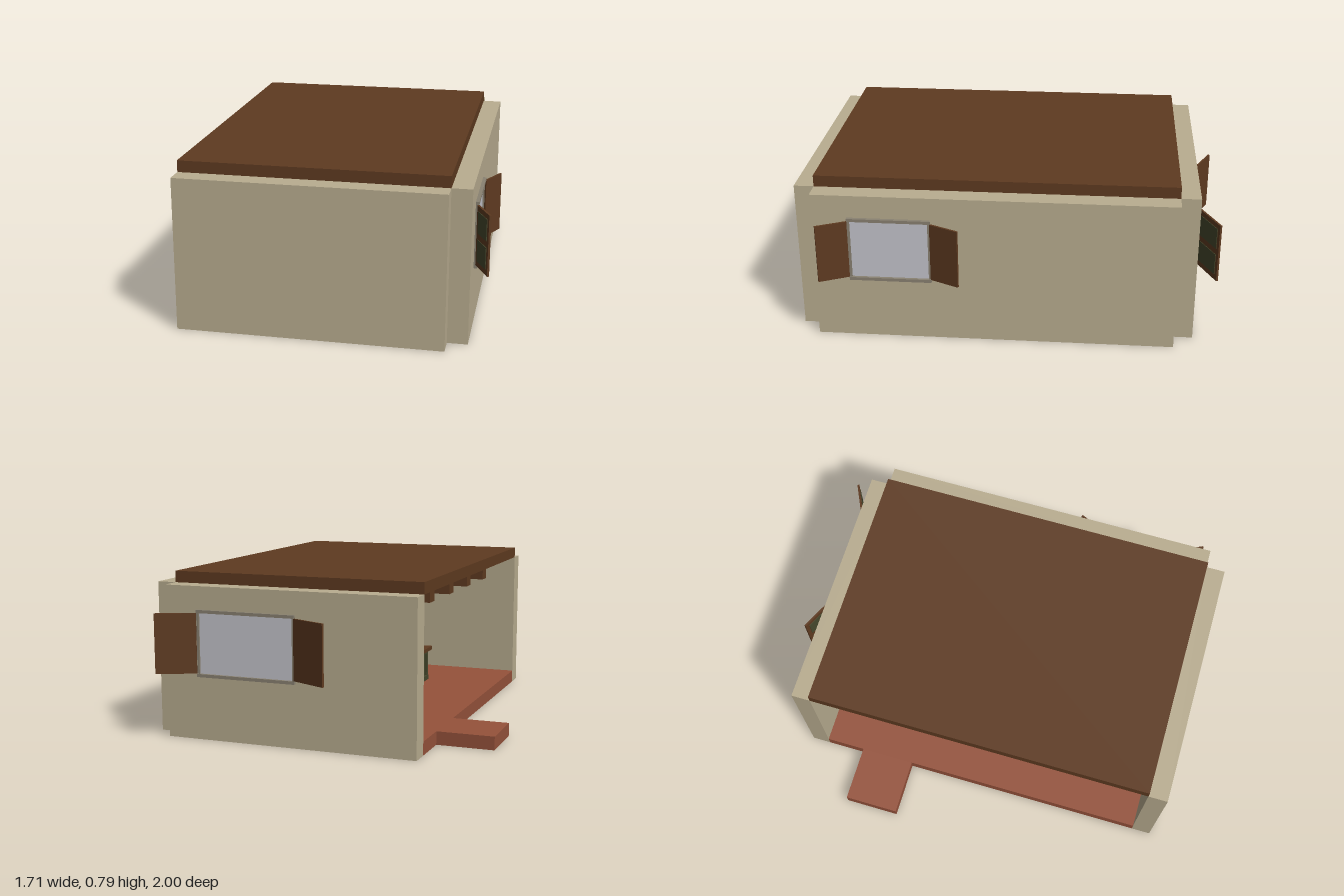
import * as THREE from 'three';

const mat = (name, color) => {
  const m = new THREE.MeshStandardMaterial({ color });
  m.name = name;
  return m;
};

export function createModel() {
  const plaster = mat('plaster', 0xb9ad90);
  const wood = mat('dark wood', 0x5e3a20);
  const clay = mat('clay floor', 0x95523b);
  const olive = mat('olive paint', 0x45472c);
  const stone = mat('grey frame', 0x8a8272);
  const glass = mat('pale glass', 0xc5c5cc);
  const cream = mat('cream', 0xd6c8a6);

  const model = new THREE.Group();
  model.name = 'openRoom';

  // Box given by its minimum and maximum corners
  const box = (parent, name, material, x0, x1, y0, y1, z0, z1) => {
    const mesh = new THREE.Mesh(new THREE.BoxGeometry(x1 - x0, y1 - y0, z1 - z0), material);
    mesh.position.set((x0 + x1) / 2, (y0 + y1) / 2, (z0 + z1) / 2);
    mesh.name = name;
    parent.add(mesh);
    return mesh;
  };

  // Shell: floor, doorstep, roof slab and plain front wall
  box(model, 'floor', clay, -0.575, 0.675, 0, 0.065, -0.805, 0.905);
  box(model, 'doorstep', clay, -0.855, -0.575, 0, 0.065, -0.605, -0.33);
  box(model, 'roof', wood, -0.575, 0.675, 0.735, 0.79, -0.805, 0.905);
  box(model, 'frontWall', plaster, -0.575, 0.675, 0, 0.735, 0.905, 1.0);

  // Ceiling beams
  for (const z of [0.32, 0.01, -0.3, -0.61]) {
    box(model, 'ceilingBeam', wood, -0.55, 0.675, 0.675, 0.735, z - 0.035, z + 0.035);
  }

  // Wall with a shuttered window; local +z is outdoors, x = 0 is the window centre
  const windowWall = (name, x0, x1, width, shutterLength) => {
    const g = new THREE.Group();
    g.name = name;
    const h = width / 2, low = 0.305, high = 0.625;

    const outline = new THREE.Shape([
      new THREE.Vector2(x0, 0), new THREE.Vector2(x1, 0),
      new THREE.Vector2(x1, 0.735), new THREE.Vector2(x0, 0.735),
    ]);
    outline.holes.push(new THREE.Path([
      new THREE.Vector2(-h + 0.01, low + 0.01), new THREE.Vector2(-h + 0.01, high - 0.01),
      new THREE.Vector2(h - 0.01, high - 0.01), new THREE.Vector2(h - 0.01, low + 0.01),
    ]));
    const geo = new THREE.ExtrudeGeometry(outline, { depth: 0.095, bevelEnabled: false });
    geo.translate(0, 0, -0.095);
    const wall = new THREE.Mesh(geo, plaster);
    wall.name = 'wall';
    g.add(wall);

    box(g, 'windowGlass', glass, -h + 0.01, h - 0.01, low + 0.01, high - 0.01, -0.015, 0.002);
    box(g, 'windowLintel', stone, -h, h, high - 0.015, high, -0.03, 0.016);
    box(g, 'windowSill', stone, -h, h, low, low + 0.015, -0.03, 0.016);
    for (const s of [-1, 1]) {
      const jx = s * (h - 0.006);
      box(g, 'windowJamb', stone, jx - 0.006, jx + 0.006, low + 0.015, high - 0.015, -0.03, 0.01);

      // Open shutter with two painted panels on the side towards the wall
      const shutter = new THREE.Group();
      shutter.name = 'shutter';
      shutter.position.set(s * h, 0, 0.012);
      shutter.rotation.y = -s * 0.44;
      const c = s * shutterLength / 2, half = shutterLength / 2;
      box(shutter, 'shutterBoard', wood, c - half, c + half, 0.322, 0.61, -0.005, 0.005);
      for (const y of [0.35, 0.483]) {
        box(shutter, 'shutterPanel', olive, c - half + 0.02, c + half - 0.02, y, y + 0.103, -0.008, -0.004);
      }
      g.add(shutter);
    }
    model.add(g);
    return g;
  };

  const side = windowWall('sideWall', -0.365, 1.345, 0.39, 0.15);
  side.position.set(0.77, 0, 0.54);
  side.rotation.y = Math.PI / 2;

  const back = windowWall('backWall', -0.415, 0.835, 0.5, 0.195);
  back.position.set(0.26, 0, -0.9);
  back.rotation.y = Math.PI;

  // Serving counter with panelled faces
  const counter = new THREE.Group();
  counter.name = 'counter';
  const z0 = -0.42, z1 = 0.5, bays = 6, pitch = (z1 - z0) / bays;
  box(counter, 'counterBody', olive, -0.17, -0.01, 0.065, 0.235, z0, z1);
  box(counter, 'counterPlinth', olive, -0.183, 0.003, 0.065, 0.09, z0 - 0.01, z1 + 0.01);
  box(counter, 'counterRail', olive, -0.18, 0, 0.215, 0.235, z0 - 0.008, z1 + 0.008);
  box(counter, 'counterTop', wood, -0.2, 0.015, 0.235, 0.255, z0 - 0.02, z1 + 0.02);
  for (let i = 0; i <= bays; i++) {
    const z = z0 + i * pitch;
    box(counter, 'counterStile', olive, -0.18, 0, 0.09, 0.215, z - 0.012, z + 0.012);
  }
  model.add(counter);

  // Trays, plates and a pot on the counter
  for (const z of [-0.3, -0.08, 0.16]) {
    box(counter, 'tray', wood, -0.16, -0.06, 0.255, 0.265, z - 0.06, z + 0.06);
    box(counter, 'plate', cream, -0.14, -0.08, 0.265, 0.275, z - 0.035, z + 0.035);
  }
  const pot = new THREE.Mesh(new THREE.CylinderGeometry(0.025, 0.02, 0.05, 12), olive);
  pot.name = 'pot';
  pot.position.set(-0.05, 0.28, 0.45);
  counter.add(pot);

  return model;
}
